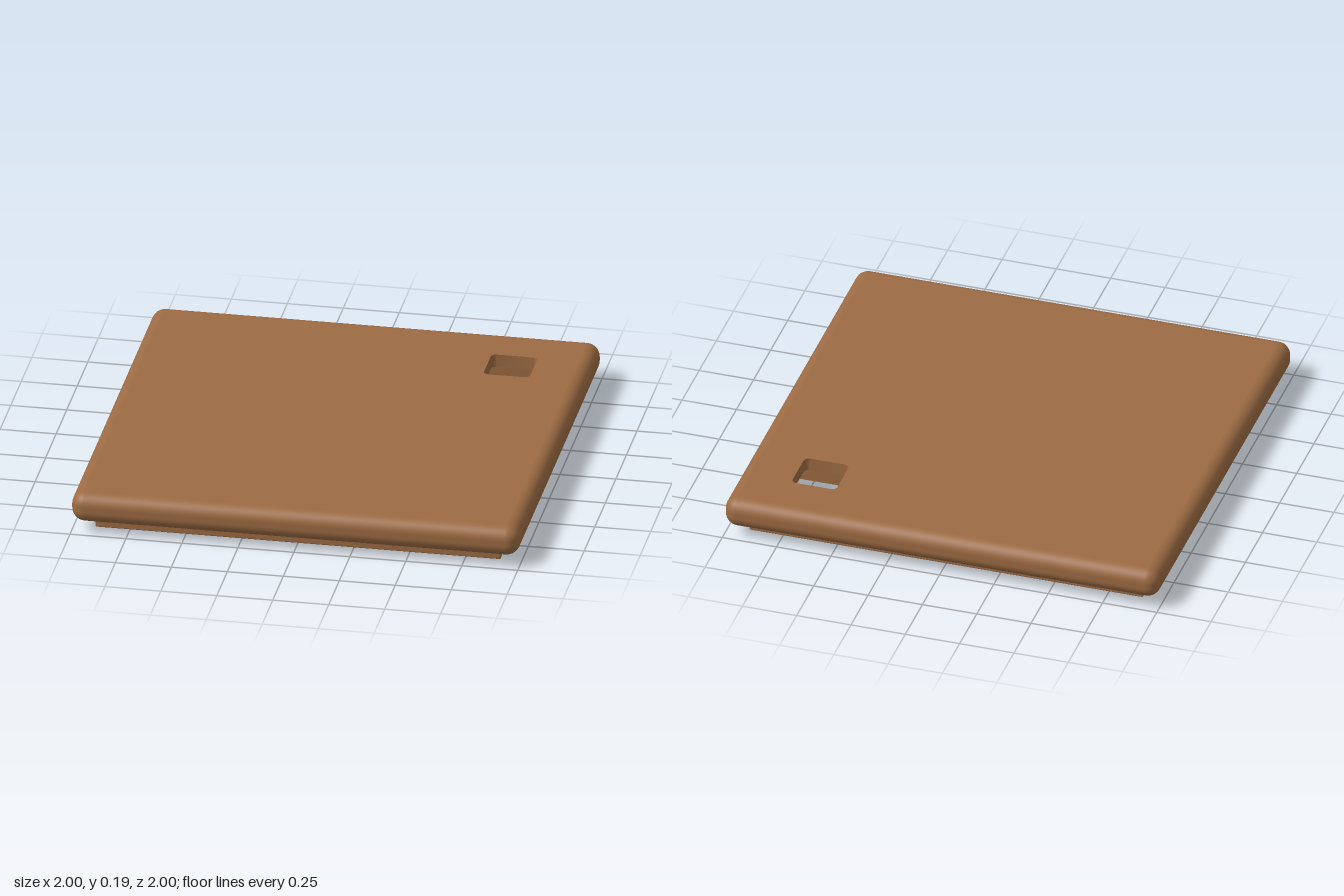
import * as THREE from 'three';
import { toCreasedNormals } from 'three/addons/utils/BufferGeometryUtils.js';
import { RoundedBoxGeometry } from 'three/addons/geometries/RoundedBoxGeometry.js';

const BOTTOM = 0.05, STEP = 0.13, TOP = 0.19; // slab underside, recess ceiling, slab top
const EDGE = 0.06, CORE = 0.94;               // edge rounding and flat half width
const HOLE_X = 0.655, HOLE_Z = -0.66;

// Square outline with optional rounded corners
function square(Type, cx, cy, half, r = 0) {
  const s = new Type();
  const corners = [[1, -1, -0.5], [1, 1, 0], [-1, 1, 0.5], [-1, -1, 1]];
  corners.forEach(([sx, sy, a], i) => {
    const x = cx + sx * (half - r), y = cy + sy * (half - r);
    if (r) s.absarc(x, y, r, a * Math.PI, (a + 0.5) * Math.PI, false);
    else if (i) s.lineTo(x, y);
    else s.moveTo(x, y);
  });
  s.closePath();
  return s;
}

// Flat plate at height y, facing up or down
function plate(shape, y, up) {
  const g = new THREE.ShapeGeometry(shape, 32);
  g.rotateX(up ? -Math.PI / 2 : Math.PI / 2);
  return g.translate(0, y, 0);
}

// Inward facing wall of an opening, following a closed outline
function openingWall(path, y0, y1) {
  const pts = path.getPoints(8), pos = [];
  for (let i = 0; i < pts.length - 1; i++) {
    const a = pts[i], b = pts[i + 1];
    if (a.distanceTo(b) < 1e-6) continue;
    pos.push(a.x, y0, a.y, b.x, y0, b.y, b.x, y1, b.y);
    pos.push(a.x, y0, a.y, b.x, y1, b.y, a.x, y1, a.y);
  }
  const g = new THREE.BufferGeometry();
  g.setAttribute('position', new THREE.Float32BufferAttribute(pos, 3));
  return toCreasedNormals(g, 0.6);
}

// Rounded side band of the slab, swept around four corners
function roundedEdge() {
  const pos = [], nor = [], idx = [], n = 8, cols = 4 * (n + 1);
  const mid = (BOTTOM + TOP) / 2, flat = (TOP - BOTTOM) / 2 - EDGE;
  const rows = 2 * (n + 1);
  for (let j = 0; j < rows; j++) {
    const upper = j > n;
    const t = ((upper ? j - 1 : j) / (2 * n) - 0.5) * Math.PI;
    for (let c = 0; c < 4; c++) {
      for (let i = 0; i <= n; i++) {
        const a = (c + i / n) * Math.PI / 2;
        const sx = c === 0 || c === 3 ? 1 : -1, sz = c < 2 ? 1 : -1;
        const nx = Math.cos(t) * Math.cos(a), ny = Math.sin(t), nz = Math.cos(t) * Math.sin(a);
        pos.push(sx * CORE + EDGE * nx, mid + (upper ? flat : -flat) + EDGE * ny, sz * CORE + EDGE * nz);
        nor.push(nx, ny, nz);
      }
    }
  }
  for (let j = 0; j < rows - 1; j++) {
    for (let i = 0; i < cols; i++) {
      const k = (i + 1) % cols;
      const a = j * cols + i, b = j * cols + k, c = a + cols, d = b + cols;
      idx.push(a, c, b, b, c, d);
    }
  }
  const g = new THREE.BufferGeometry();
  g.setAttribute('position', new THREE.Float32BufferAttribute(pos, 3));
  g.setAttribute('normal', new THREE.Float32BufferAttribute(nor, 3));
  g.setIndex(idx);
  return g;
}

export function createModel() {
  const group = new THREE.Group();
  const wood = new THREE.MeshStandardMaterial({ color: 0x9c6b43, side: THREE.DoubleSide });
  wood.name = 'warm brown';
  const add = (name, geometry) => {
    const m = new THREE.Mesh(geometry, wood);
    m.name = name;
    group.add(m);
    return m;
  };

  const holeR = 0.025, holeHalf = 0.103, recessHalf = 0.14;
  const grooveIn = 0.51, grooveOut = 0.66;

  // Slab: rounded edge, top face and underside
  add('slabEdge', roundedEdge());
  const top = square(THREE.Shape, 0, 0, CORE);
  top.holes.push(square(THREE.Path, HOLE_X, -HOLE_Z, holeHalf, holeR));
  add('slabTop', plate(top, TOP, true));

  const under = square(THREE.Shape, 0, 0, CORE);
  under.holes.push(square(THREE.Path, HOLE_X, HOLE_Z, recessHalf));
  under.holes.push(new THREE.Path().absarc(0, 0, grooveOut, 0, Math.PI * 2, false));
  add('slabUnderside', plate(under, BOTTOM, false));

  // Circular groove around a central disc
  const profile = [[0, BOTTOM], [grooveIn, BOTTOM], [grooveIn, STEP], [grooveOut, STEP], [grooveOut, BOTTOM]];
  const lathe = new THREE.LatheGeometry(profile.map(p => new THREE.Vector2(...p)), 64);
  add('undersideGroove', toCreasedNormals(lathe, 0.6));

  // Rounded square hole opening into a wider recess below
  const hole = square(THREE.Path, HOLE_X, HOLE_Z, holeHalf, holeR);
  const recess = square(THREE.Shape, HOLE_X, HOLE_Z, recessHalf);
  add('holeWall', openingWall(hole, STEP, TOP));
  add('recessWall', openingWall(recess, BOTTOM, STEP));
  recess.holes.push(hole);
  add('recessLedge', plate(recess, STEP, false));

  // Locating strips under the slab
  const w = 0.046, h = 0.054, out = 0.905;
  for (const s of [-1, 1]) {
    add(s > 0 ? 'frontStrip' : 'backStrip', new RoundedBoxGeometry(out * 2, h, w, 2, 0.005))
      .position.set(0, h / 2, s * (out - w / 2));
    add(s > 0 ? 'leftStrip' : 'rightStrip', new RoundedBoxGeometry(w, h, (out - w) * 2 - 0.004, 2, 0.005))
      .position.set(s * (out - w / 2), h / 2, 0);
  }
  return group;
}
